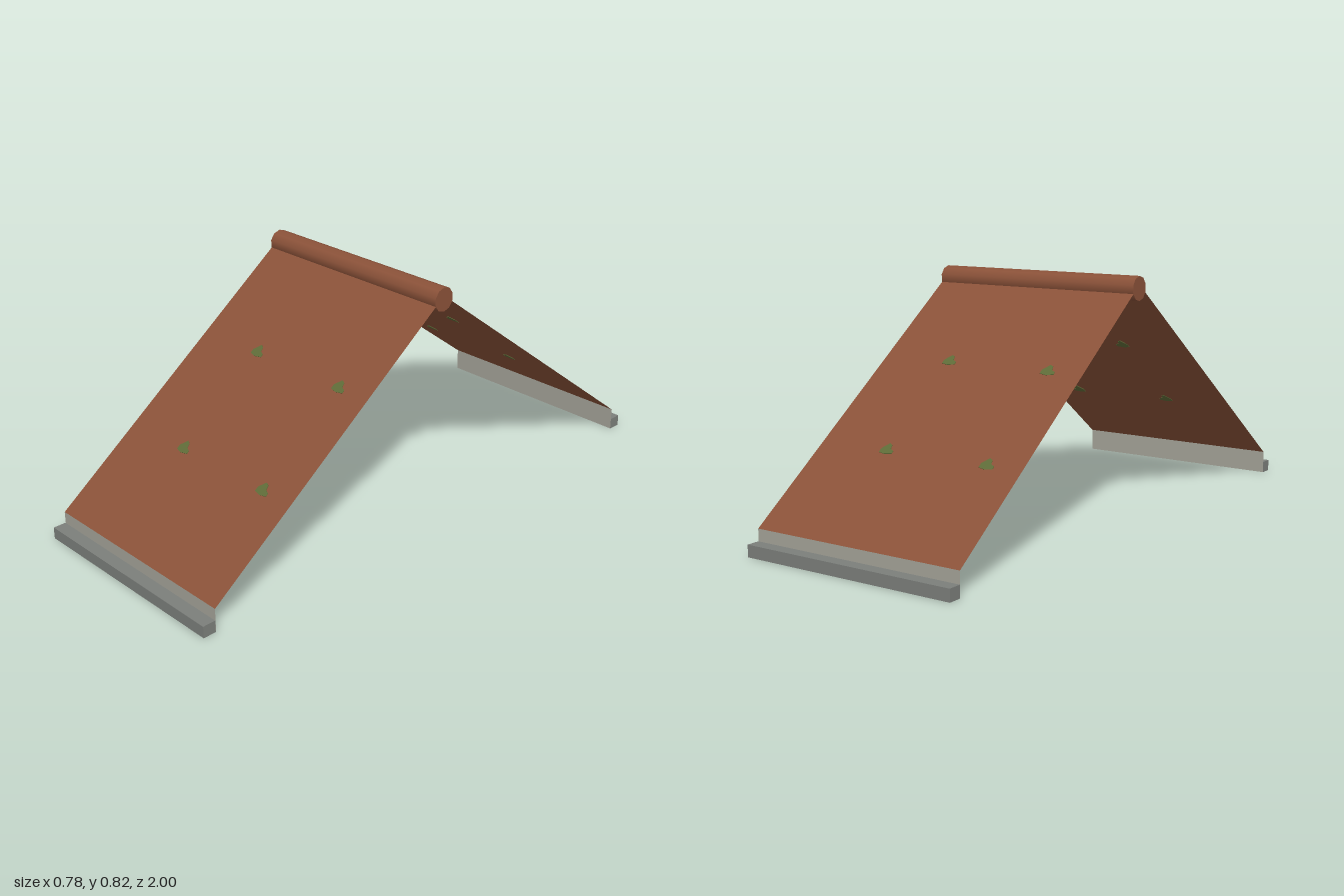
import * as THREE from 'three';

const material = (name, color, side = THREE.FrontSide) => {
  const m = new THREE.MeshStandardMaterial({ color, side });
  m.name = name;
  return m;
};

export function createModel() {
  const clay = material('clay brown', 0x8b5239);
  const claySheet = material('clay brown', 0x8b5239, THREE.DoubleSide);
  claySheet.name = 'clay brown sheet';
  const stone = material('stone grey', 0x7c7f7b);
  const paleStone = material('pale stone', 0xa5a499, THREE.DoubleSide);
  const moss = material('moss green', 0x5f6c38);

  const width = 0.78, eaveZ = 0.954, eaveY = 0.08, ridgeY = 0.797;
  const rise = ridgeY - eaveY;
  const length = Math.hypot(eaveZ, rise);

  const add = (parent, name, geometry, mat, x = 0, y = 0, z = 0) => {
    const mesh = new THREE.Mesh(geometry, mat);
    mesh.name = name;
    mesh.position.set(x, y, z);
    parent.add(mesh);
    return mesh;
  };

  // Irregular moss patch, thin enough to show on both faces of the roof
  const outline = [
    [-0.024, -0.012], [0, -0.017], [0.027, -0.012], [0.026, 0], [0.012, 0.006],
    [0.008, 0.022], [-0.004, 0.028], [-0.014, 0.016], [-0.024, 0.004],
  ].map(([x, y]) => new THREE.Vector2(x, y));
  const patchGeometry = new THREE.ExtrudeGeometry(new THREE.Shape(outline), {
    depth: 0.003, bevelEnabled: false,
  });
  patchGeometry.translate(0, 0, -0.0015);

  const model = new THREE.Group();
  model.name = 'roof';

  // Two identical halves, the second turned half way round
  for (const [name, turn] of [['frontHalf', 0], ['backHalf', Math.PI]]) {
    const half = new THREE.Group();
    half.name = name;
    half.rotation.y = turn;
    model.add(half);

    // Sloping sheet with its moss patches
    const slope = new THREE.Group();
    slope.name = 'slope';
    slope.position.set(0, (eaveY + ridgeY) / 2, eaveZ / 2);
    slope.rotation.x = -Math.atan2(eaveZ, rise);
    half.add(slope);
    add(slope, 'roofSheet', new THREE.PlaneGeometry(width, length), claySheet);
    for (const x of [-0.125, 0.262]) {
      for (const y of [0.305, 0.545]) {
        const along = ((y - eaveY) / rise - 0.5) * length;
        add(slope, 'mossPatch', patchGeometry, moss, x, along, 0);
      }
    }

    // Upright strip under the sheet and the gutter in front of it
    add(half, 'fascia', new THREE.PlaneGeometry(width, eaveY), paleStone, 0, eaveY / 2, eaveZ);
    add(half, 'gutter', new THREE.BoxGeometry(width, 0.04, 0.045), stone, 0, 0.02, 0.9775);
  }

  // Ridge roll along the top
  const ridge = new THREE.CylinderGeometry(0.041, 0.041, width, 10);
  ridge.rotateY(Math.PI / 2);
  ridge.rotateZ(Math.PI / 2);
  add(model, 'ridge', ridge, clay, 0, 0.784, 0);

  return model;
}
